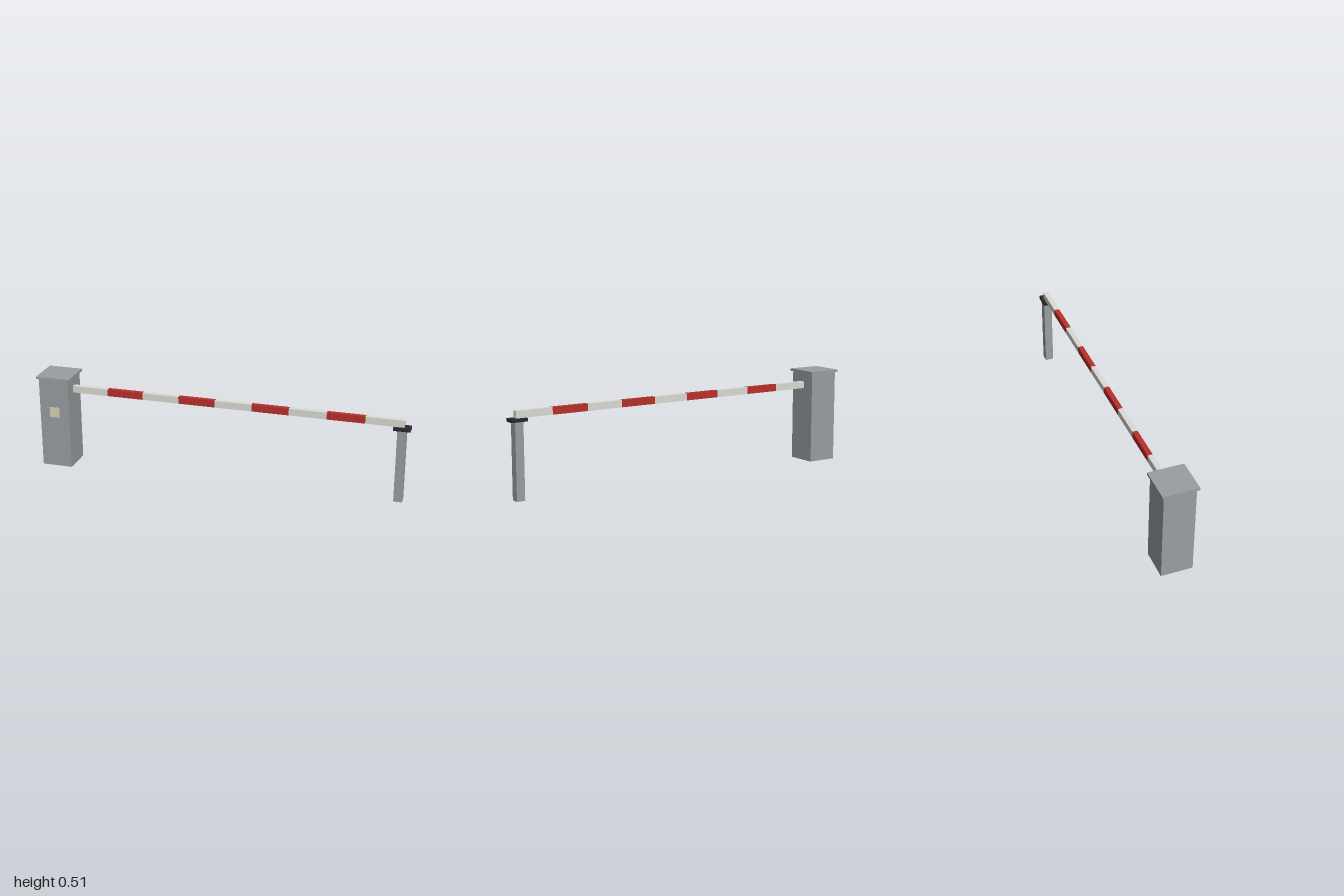
import * as THREE from 'three';

const material = (color) => new THREE.MeshStandardMaterial({ color });

export function createModel() {
  const model = new THREE.Group();
  model.name = 'barrierGate';

  const steel = material(0x9a9ea2);
  const white = material(0xdcdcd6);
  const red = material(0xb8302a);
  const rubber = material(0x2a2a2d);
  const cream = material(0xdcd4b4);

  // Box centred on x and z, standing on the given bottom height
  const addBox = (name, mat, [w, h, d], [x, bottom, z], parent = model) => {
    const mesh = new THREE.Mesh(new THREE.BoxGeometry(w, h, d), mat);
    mesh.name = name;
    mesh.position.set(x, bottom + h / 2, z);
    parent.add(mesh);
  };

  // Drive cabinet with overhanging lid and front panel
  const cabinetX = -0.906;
  addBox('cabinet', steel, [0.166, 0.497, 0.166], [cabinetX, 0, 0]);
  addBox('cabinetLid', steel, [0.188, 0.013, 0.188], [cabinetX, 0.497, 0]);
  addBox('frontPanel', cream, [0.056, 0.056, 0.004], [cabinetX, 0.284, 0.083]);

  // Boom: alternating white and red segments
  const boom = new THREE.Group();
  boom.name = 'boom';
  model.add(boom);
  const start = -0.824, segment = 0.199;
  for (let i = 0; i < 9; i++) {
    const isRed = i % 2 === 1;
    addBox(isRed ? 'redStripe' : 'whiteStripe', isRed ? red : white,
      [segment, 0.037, 0.027], [start + (i + 0.5) * segment, 0.41, 0], boom);
  }

  // Rest post and the pad that carries the boom tip
  const postX = 0.956;
  addBox('restPost', steel, [0.045, 0.393, 0.045], [postX, 0, 0]);
  addBox('restPad', rubber, [0.088, 0.017, 0.056], [postX, 0.393, 0]);

  return model;
}
